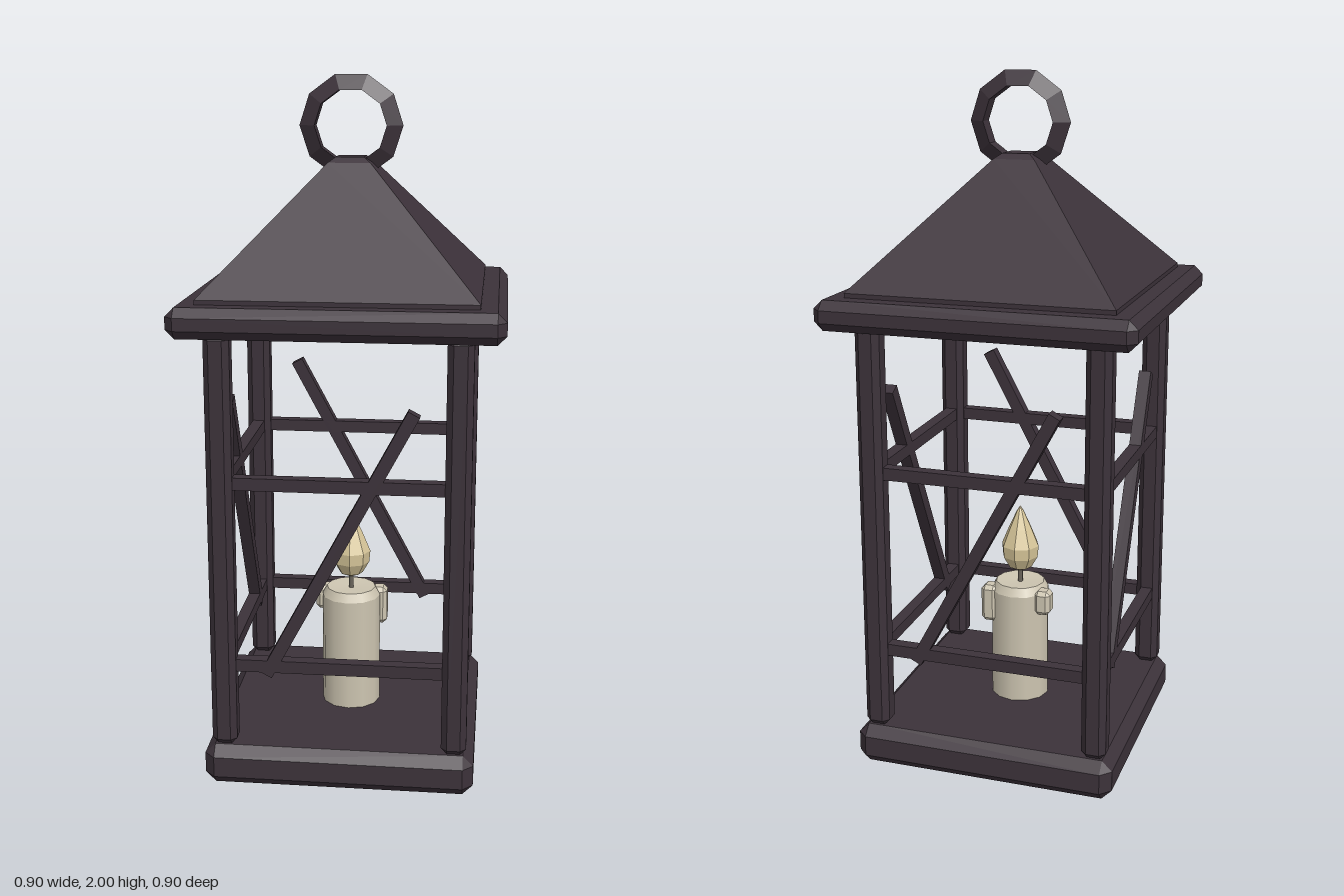
import * as THREE from 'three';
import { ConvexGeometry } from 'three/addons/geometries/ConvexGeometry.js';

const mat = (name, color, flatShading = false) => {
  const m = new THREE.MeshStandardMaterial({ color, flatShading });
  m.name = name;
  return m;
};

// Box with every edge cut by c
function chamferBox(w, h, d, c) {
  const pts = [];
  const [x, y, z] = [w / 2, h / 2, d / 2];
  for (const i of [-1, 1]) for (const j of [-1, 1]) for (const k of [-1, 1]) {
    pts.push(new THREE.Vector3(i * x, j * (y - c), k * (z - c)));
    pts.push(new THREE.Vector3(i * (x - c), j * y, k * (z - c)));
    pts.push(new THREE.Vector3(i * (x - c), j * (y - c), k * z));
  }
  return new ConvexGeometry(pts);
}

export function createModel() {
  const model = new THREE.Group();
  model.name = 'lantern';
  const metal = mat('dark metal', 0x3c323a, true);
  const wax = mat('wax', 0xcdc5b1);
  const glow = mat('flame', 0xd8c79a, true);
  const char = mat('wick grey', 0x6b655c);

  const add = (name, geo, material, x = 0, y = 0, z = 0, parent = model) => {
    const mesh = new THREE.Mesh(geo, material);
    mesh.name = name;
    mesh.position.set(x, y, z);
    parent.add(mesh);
    return mesh;
  };

  // Base and eaves slabs
  add('base', chamferBox(0.775, 0.12, 0.775, 0.03), metal, 0, 0.06, 0);
  add('eaves', chamferBox(0.9, 0.085, 0.9, 0.025), metal, 0, 1.365, 0);

  // Pyramid roof with a blunt tip
  const roofPts = [];
  for (const [r, y] of [[0.38, 1.4], [0.38, 1.42], [0.06, 1.76], [0.04, 1.775]])
    for (const i of [-1, 1]) for (const k of [-1, 1])
      roofPts.push(new THREE.Vector3(i * r, y, k * r));
  add('roof', new ConvexGeometry(roofPts), metal);

  // Hanging ring with a three-sided section
  add('hangingRing', new THREE.TorusGeometry(0.117, 0.03, 3, 10), metal, 0, 1.86, 0);

  // Corner posts
  const post = chamferBox(0.072, 1.205, 0.072, 0.017);
  for (const i of [-1, 1]) for (const k of [-1, 1])
    add('post', post, metal, i * 0.33, 0.7225, k * 0.33);

  // Each side: two rails and one diagonal brace
  const rail = new THREE.BoxGeometry(0.6, 0.036, 0.036);
  const brace = new THREE.BoxGeometry(0.036, 0.88, 0.036);
  for (let s = 0; s < 4; s++) {
    const side = new THREE.Group();
    side.name = 'sideFrame';
    side.rotation.y = s * Math.PI / 2;
    add('lowerRail', rail, metal, 0, 0.363, 0.33, side);
    add('upperRail', rail, metal, 0, 0.903, 0.33, side);
    add('brace', brace, metal, 0, 0.725, 0.33, side).rotation.z = -0.49;
    model.add(side);
  }

  // Candle with bevelled rim
  const v = (r, y) => new THREE.Vector2(r, y);
  add('candle', new THREE.LatheGeometry(
    [v(0.088, 0.11), v(0.088, 0.46), v(0.088, 0.46), v(0.074, 0.485), v(0.074, 0.485), v(0, 0.48)], 12), wax);

  // Wax drips
  for (const [x, top, len] of [[0.083, 0.475, 0.115], [-0.085, 0.475, 0.075]])
    add('waxDrip', chamferBox(0.05, len, 0.055, 0.012), wax, x, top - len / 2, -0.035);

  // Wick and flame
  add('wick', new THREE.CylinderGeometry(0.008, 0.008, 0.07, 6), char, 0, 0.505, 0);
  add('flame', new THREE.LatheGeometry(
    [v(0, 0.515), v(0.035, 0.53), v(0.055, 0.565), v(0.058, 0.6), v(0.035, 0.655), v(0.012, 0.705), v(0, 0.725)], 8), glow);

  return model;
}
